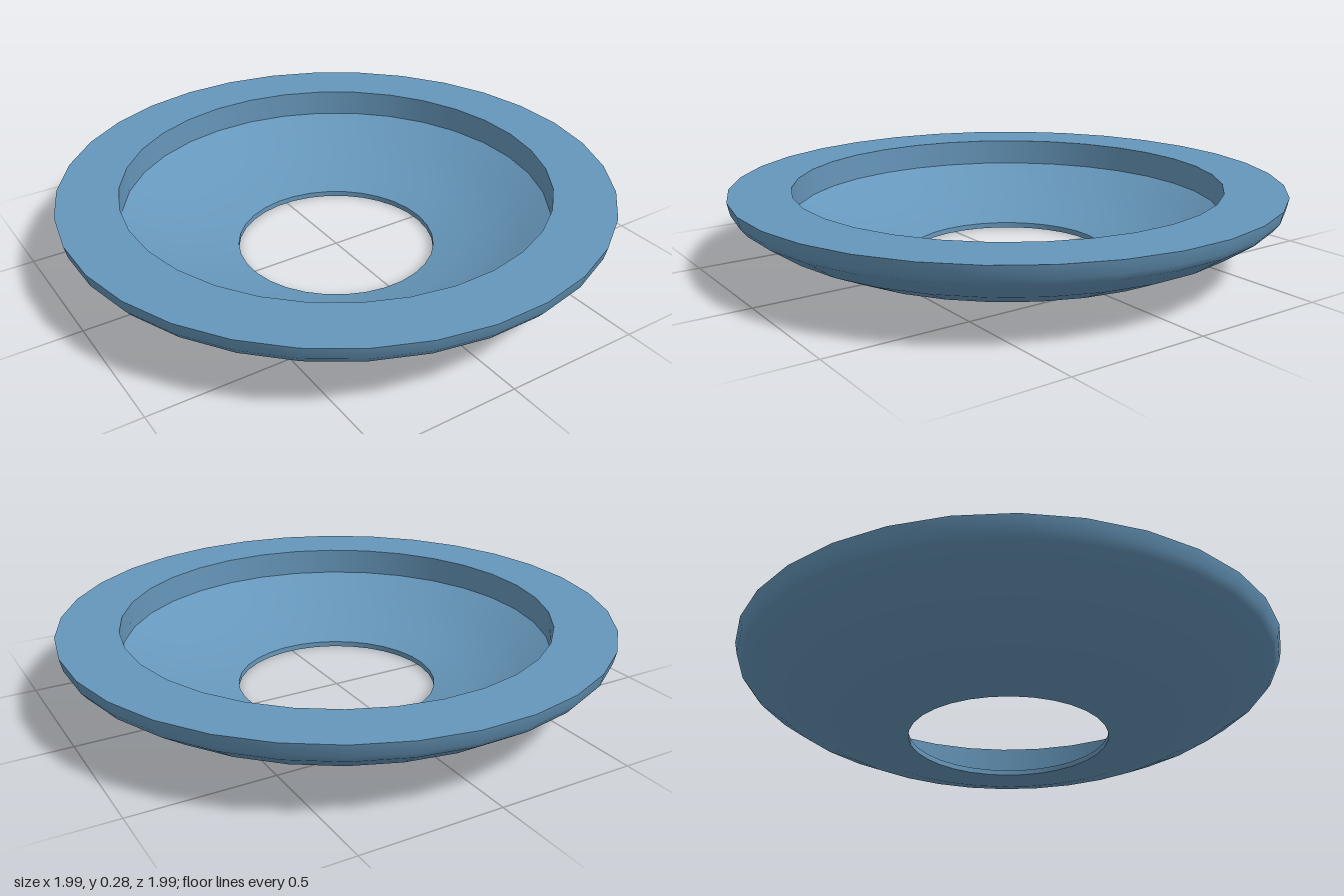
import * as THREE from 'three';

const SEGMENTS = 32;
const PHASE = 0.105; // small turn of the facets around the axis

// Each strip is smooth in itself; the edges between strips stay sharp.
// Points are [radius, height], running around the section anticlockwise.
const STRIPS = {
  outerBowl: [[0.365, 0], [0.41, 0.004], [0.58, 0.03], [0.73, 0.075], [0.87, 0.14], [0.97, 0.21], [0.99, 0.235], [1, 0.28]],
  flatRim: [[1, 0.28], [0.78, 0.28]],
  rimWall: [[0.78, 0.28], [0.78, 0.18]],
  innerBowl: [[0.78, 0.18], [0.68, 0.125], [0.58, 0.08], [0.47, 0.044], [0.365, 0.02]],
  holeWall: [[0.365, 0.02], [0.365, 0]],
};

export function createModel() {
  const group = new THREE.Group();
  group.name = 'openDish';

  const blue = new THREE.MeshStandardMaterial({ color: 0x6697bb });
  blue.name = 'steel blue';

  for (const [name, profile] of Object.entries(STRIPS)) {
    const points = profile.map(([r, y]) => new THREE.Vector2(r, y));
    const mesh = new THREE.Mesh(new THREE.LatheGeometry(points, SEGMENTS, PHASE), blue);
    mesh.name = name;
    group.add(mesh);
  }
  return group;
}
